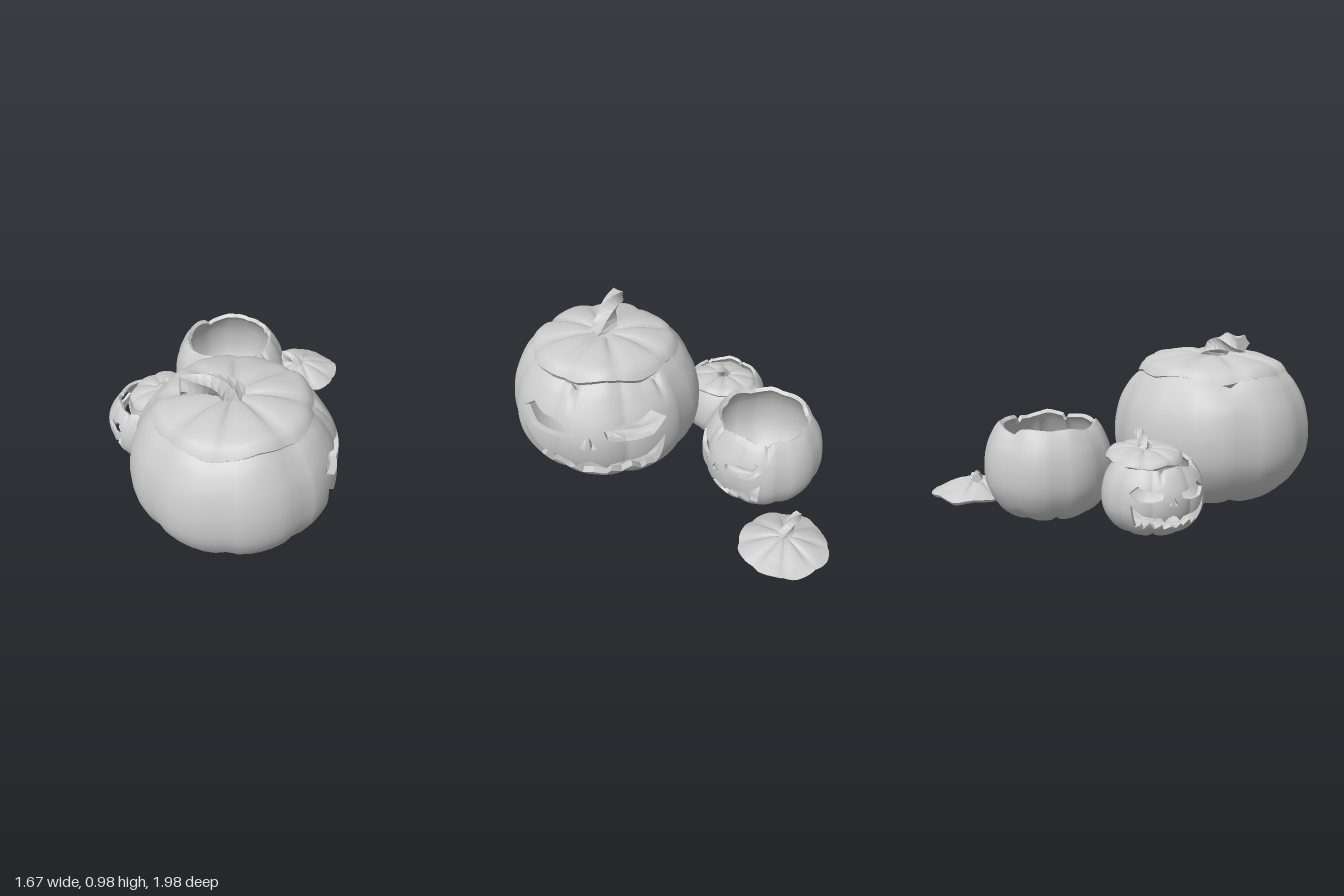
import * as THREE from 'three';

const grey = new THREE.MeshStandardMaterial({ color: 0xcccccc });
const faceted = new THREE.MeshStandardMaterial({ color: 0xcccccc, flatShading: true });
const V2 = (x, y) => new THREE.Vector2(x, y);
const clamp = THREE.MathUtils.clamp;
const spline = pts => new THREE.SplineCurve(pts.map(p => V2(...p)));

// Profiles (radius, height) of the full-size pumpkin, its domed lid and the flatter loose lid
const bodyCurve = spline([[0, .05], [.12, .03], [.25, .01], [.38, .05], [.48, .13], [.56, .27],
  [.577, .42], [.55, .57], [.49, .69], [.435, .755]]);
const domedLid = spline([[.438, 0], [.4, .055], [.31, .09], [.2, .107], [.1, .1], [0, .08]]);
const flatLid = spline([[.447, 0], [.36, .045], [.23, .095], [.1, .125], [0, .11]]);
const LENGTH = bodyCurve.getLength(), RADIUS = .55;

// Eight lobes with sharp valleys, and the zigzag cut between body and lid
const valley = a => (1 - Math.abs(Math.cos(4 * a))) ** 2;
const saw = x => Math.asin(Math.sin(x)) * 2 / Math.PI;
const zigzag = a => .014 * saw(7 * a) + .012 * saw(4 * a + 1);
const notch = a => [-1.9, -.2, .9, 2.6].reduce((s, c) => s + Math.max(0, 1 - Math.abs(a - c) / .06) * .04, 0);
const place = (r, y, a) => new THREE.Vector3(r * Math.sin(a), y, r * Math.cos(a));

function bodyPoint(a, t, inside) {
  const p = bodyCurve.getPointAt(clamp(t, 0, 1)), c = valley(a);
  // The face bulges a little around the nose
  let r = p.x * (1 - .035 * c) + .018 * Math.exp(-((a / .4) ** 2) - ((p.y - .48) / .15) ** 2);
  let y = p.y + .03 * c * clamp(1 - p.y / .15, 0, 1) * clamp(p.x / .2, 0, 1);
  y += (zigzag(a) - notch(a)) * clamp((t - .85) / .15, 0, 1);
  if (inside) { r *= .93; y = .42 + (y - .42) * .93; }
  return place(r, y, a);
}

// Lid skin over a profile; ragged sets how far its edge wanders in and out
const lidPoint = (curve, ragged) => (a, t, inside) => {
  const p = curve.getPointAt(clamp(t, 0, 1)), c = valley(a);
  let r = p.x * (1 - .035 * c + ragged * saw(5 * a) * (1 - t));
  let y = p.y - .025 * c * Math.sin(Math.PI * clamp(p.x / .45, 0, 1));
  y += (zigzag(a) + .006) * clamp(1 - t / .3, 0, 1);
  if (inside) { r *= .95; y -= .028; }
  return place(r, y, a);
};

// Face cut-outs, one half as (x, y) seen from the front
const eye = [[.425, .53], [.34, .605], [.285, .565], [.09, .535], [.11, .48], [.22, .445], [.36, .455]];
const nostril = [[.008, .5], [.05, .42], [.015, .41]];
const mouthHalf = [[.055, .285], [.09, .24], [.125, .285], [.24, .29], [.32, .315], [.375, .365], [.42, .42], [.405, .3], [.355, .165],
  [.315, .2], [.28, .145], [.24, .22], [.17, .15], [.115, .2], [.07, .145]];
const flip = pts => pts.map(([x, y]) => [-x, y]);
const mouth = [[0, .31], ...mouthHalf, [0, .175], ...flip(mouthHalf).reverse()];

// Project a cut-out onto the unrolled skin of the body
function unroll(pts) {
  return pts.map(([x, y]) => {
    let lo = .25, hi = 1;
    for (let k = 0; k < 25; k++) {
      const m = (lo + hi) / 2;
      if (bodyCurve.getPointAt(m).y < y) lo = m; else hi = m;
    }
    return V2(Math.asin(x / bodyCurve.getPointAt(lo).x) * RADIUS, lo * LENGTH);
  });
}
const faceHoles = [eye, flip(eye), nostril, flip(nostril), mouth].map(unroll);

function contains(poly, p) {
  let odd = false;
  poly.forEach((a, i) => {
    const b = poly[(i + 1) % poly.length];
    if ((a.y > p.y) !== (b.y > p.y) && p.x < (b.x - a.x) * (p.y - a.y) / (b.y - a.y) + a.x) odd = !odd;
  });
  return odd;
}

// Thick skin around the axis; grid points slide onto the cut-outs, and every open edge gets a wall
function shell(angles, rows, point, holes = []) {
  const n = angles.length, grid = [], fixed = new Set();
  for (let j = 0; j <= rows; j++) for (const a of angles) grid.push(V2(a * RADIUS, j / rows * LENGTH));
  for (const corner of holes.flat()) {
    let best = -1, near = Infinity;
    grid.forEach((g, i) => {
      const d = g.distanceTo(corner);
      if (!fixed.has(i) && d < near) { near = d; best = i; }
    });
    grid[best].copy(corner);
    fixed.add(best);
  }
  const hit = new THREE.Vector3(), q = new THREE.Vector3();
  const edges = holes.flatMap(h => h.map((a, i) => {
    const b = h[(i + 1) % h.length];
    return new THREE.Line3(new THREE.Vector3(a.x, a.y, 0), new THREE.Vector3(b.x, b.y, 0));
  }));
  grid.forEach((g, i) => {
    if (fixed.has(i)) return;
    let near = .0095, target = null;
    q.set(g.x, g.y, 0);
    for (const e of edges) {
      e.closestPointToPoint(q, true, hit);
      const d = hit.distanceTo(q);
      if (d < near) { near = d; target = V2(hit.x, hit.y); }
    }
    if (target) { g.copy(target); fixed.add(i); }
  });

  const outer = grid.map(g => point(g.x / RADIUS, g.y / LENGTH, false));
  const inner = grid.map(g => point(g.x / RADIUS, g.y / LENGTH, true));
  const verts = [...outer, ...inner], index = [], open = new Map(), total = grid.length;
  const addTriangle = (...tri) => {
    const mid = V2(0, 0);
    tri.forEach(i => mid.addScaledVector(grid[i], 1 / 3));
    if (holes.some(h => contains(h, mid))) return;
    const [a, b, c] = tri;
    index.push(a, b, c, a + total, c + total, b + total);
    for (const [s, e] of [[a, b], [b, c], [c, a]]) {
      if (!open.delete(e + '_' + s)) open.set(s + '_' + e, [s, e]);
    }
  };
  for (let j = 0; j < rows; j++) for (let i = 0; i < n; i++) {
    const k = (i + 1) % n, a = j * n + i, b = j * n + k, c = b + n, d = a + n;
    if (fixed.has(b) && fixed.has(d) && !(fixed.has(a) && fixed.has(c))) { addTriangle(a, b, d); addTriangle(b, c, d); }
    else { addTriangle(a, b, c); addTriangle(a, c, d); }
  }
  for (const [s, e] of open.values()) {
    if (outer[s].distanceTo(outer[e]) < 1e-5) continue;
    const v = verts.length;
    verts.push(outer[e], outer[s], inner[s], inner[e]);
    index.push(v, v + 1, v + 2, v, v + 2, v + 3);
  }
  const geo = new THREE.BufferGeometry().setFromPoints(verts);
  geo.setIndex(index);
  geo.computeVertexNormals();
  return geo;
}

// Fine columns across the face, coarse ones around the back
const faceHalf = Math.PI / 3, bodyAngles = [], lidAngles = [];
for (let i = 0; i < 76; i++) bodyAngles.push(-faceHalf + 2 * faceHalf * i / 76);
for (let i = 0; i < 32; i++) bodyAngles.push(faceHalf + 4 * faceHalf * i / 32);
for (let i = 0; i < 64; i++) lidAngles.push((i / 64 * 2 - 1) * Math.PI);
const wrap = a => a > Math.PI ? a - 2 * Math.PI : a;
const bodyGeo = shell(bodyAngles, 64, (a, t, inside) => bodyPoint(wrap(a), t, inside), faceHoles);
const domedGeo = shell(lidAngles, 14, lidPoint(domedLid, .01));
const flatGeo = shell(lidAngles, 14, lidPoint(flatLid, .025));

// Twisted, ridged stem bending backwards
function stemGeometry() {
  const path = new THREE.CatmullRomCurve3([[0, .05, .01], [0, .12, -.03], [.01, .175, -.11], [.03, .19, -.27]].map(p => new THREE.Vector3(...p)));
  const steps = 9, sides = 10, frames = path.computeFrenetFrames(steps), verts = [], index = [];
  for (let j = 0; j <= steps; j++) {
    const u = j / steps, size = .05 + .05 * (1 - u) ** 3, centre = path.getPointAt(u);
    for (let i = 0; i < sides; i++) {
      const a = i / sides * 2 * Math.PI + u * 2.4, r = size * (i % 2 ? .76 : 1.05);
      verts.push(centre.clone().addScaledVector(frames.normals[j], r * Math.cos(a)).addScaledVector(frames.binormals[j], r * Math.sin(a)));
      const k = (i + 1) % sides, p = j * sides;
      if (j < steps) index.push(p + i, p + k, p + k + sides, p + i, p + k + sides, p + i + sides);
      else index.push(p + i, p + k, p + sides);
    }
  }
  verts.push(path.getPointAt(1));
  const geo = new THREE.BufferGeometry().setFromPoints(verts);
  geo.setIndex(index);
  geo.computeVertexNormals();
  return geo;
}
const stemGeo = stemGeometry();

function part(name, geometry, material = grey) {
  const mesh = new THREE.Mesh(geometry, material);
  mesh.name = name;
  return mesh;
}

function makeBody(name, x, z, turn, width, height) {
  const body = part(name, bodyGeo);
  body.position.set(x, 0, z);
  body.rotation.y = turn;
  body.scale.set(width, height, width);
  return body;
}

function makeLid(name, geometry, [x, y, z], turn, tilt, width, height) {
  const lid = new THREE.Group();
  lid.name = name;
  lid.add(part('lidShell', geometry), part('stem', stemGeo, faceted));
  lid.position.set(x, y, z);
  lid.rotation.set(tilt, turn, 0, 'YXZ');
  lid.scale.set(width, height, width);
  return lid;
}

export function createModel() {
  const model = new THREE.Group();
  model.name = 'carvedPumpkins';
  model.add(
    makeBody('largePumpkinBody', -.25, .415, Math.PI / 2, 1, 1),
    makeLid('largePumpkinLid', domedGeo, [-.25, .755, .415], Math.PI / 2, -.03, 1, 1),
    makeBody('mediumPumpkinBody', .02, -.575, Math.PI / 4, .62, .7),
    makeLid('looseLid', flatGeo, [.575, .035, -.735], 1.22, 0, .573, .6),
    makeBody('smallPumpkinBody', -.555, -.3, -1.88, .476, .5),
    makeLid('smallPumpkinLid', domedGeo, [-.485, .385, -.3], -1.88, .1, .476, .5),
  );
  // Small nub on the floor inside the open pumpkin
  const nub = part('innerNub', new THREE.CylinderGeometry(.03, .055, .03, 8), faceted);
  nub.position.set(.02, .075, -.575);
  model.add(nub);
  return model;
}
